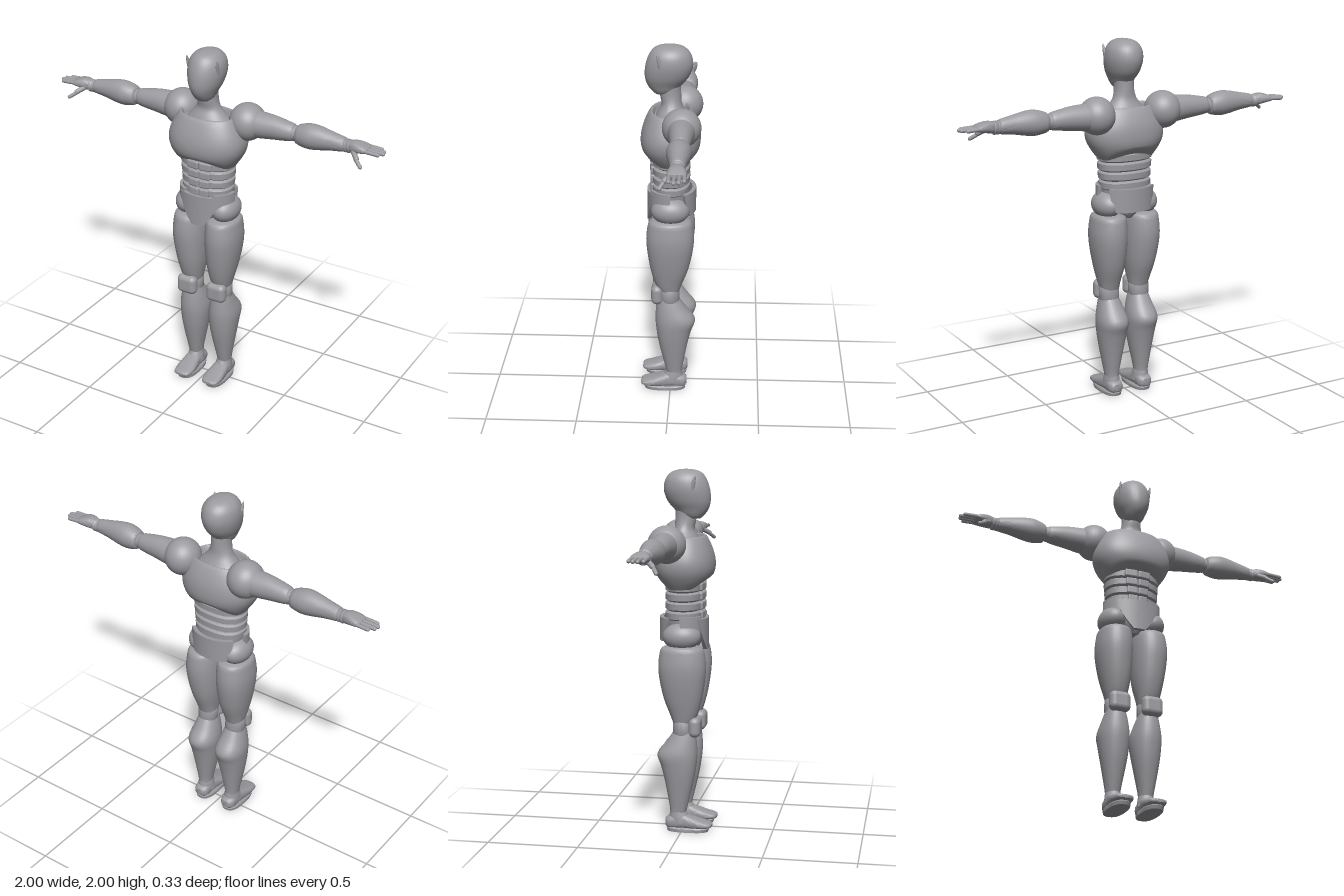
import * as THREE from 'three';
import { toCreasedNormals } from 'three/addons/utils/BufferGeometryUtils.js';
import { RoundedBoxGeometry } from 'three/addons/geometries/RoundedBoxGeometry.js';

const grey = new THREE.MeshStandardMaterial({ color: 0x9b9ba0 });
grey.name = 'grey';

// Skin over sections [position, u0, u1, v0, v1] in ascending order along an axis.
// (u, v) is (x, z) for axis y, (y, z) for axis x and (x, y) for axis z.
function loft(axis, sections, { n = 2, steps = 4, sides = 32, warp = null, crease = 0.7 } = {}) {
  const rows = [], last = sections.length - 1;
  for (let i = 0; i < last; i++) {
    const [p0, p1, p2, p3] = [Math.max(i - 1, 0), i, i + 1, Math.min(i + 2, last)].map(k => sections[k]);
    for (let s = 0; s < steps; s++) {
      const t = s / steps;
      rows.push(p1.map((b, k) => steps === 1 ? b : 0.5 * (2 * b + (p2[k] - p0[k]) * t
        + (2 * p0[k] - 5 * b + 4 * p2[k] - p3[k]) * t * t + (3 * b - p0[k] - 3 * p2[k] + p3[k]) * t ** 3)));
    }
  }
  rows.push(sections[last]);
  const pos = [], idx = [];
  const put = (w, u, v) => {
    const p = axis === 'y' ? [u, w, v] : axis === 'x' ? [w, u, v] : [u, v, w];
    if (warp) warp(p);
    pos.push(...p);
  };
  const tri = (a, b, c) => axis === 'y' ? idx.push(a, b, c) : idx.push(a, c, b);
  const power = c => Math.sign(c) * Math.abs(c) ** (2 / n);
  for (const [w, u0, u1, v0, v1] of rows) for (let j = 0; j < sides; j++) {
    const a = j / sides * Math.PI * 2;
    put(w, (u0 + u1) / 2 + (u1 - u0) / 2 * power(Math.cos(a)), (v0 + v1) / 2 + (v1 - v0) / 2 * power(Math.sin(a)));
  }
  const end = rows.length - 1, base = rows.length * sides;
  for (const r of [rows[0], rows[end]]) put(r[0], (r[1] + r[2]) / 2, (r[3] + r[4]) / 2);
  for (let j = 0; j < sides; j++) {
    const k = (j + 1) % sides;
    for (let i = 0; i < end; i++) {
      const a = i * sides + j, b = i * sides + k;
      tri(a, a + sides, b);
      tri(b, a + sides, b + sides);
    }
    tri(base, j, k);
    tri(base + 1, end * sides + k, end * sides + j);
  }
  const g = new THREE.BufferGeometry();
  g.setAttribute('position', new THREE.Float32BufferAttribute(pos, 3));
  g.setIndex(idx);
  return toCreasedNormals(g, crease);
}

// Curved armour plate around the waist, narrowing towards its lower edge
function plate(mid, half, top, bottom, taper, rx, rz) {
  const g = new THREE.BoxGeometry(2, 1, 1, 20, 6, 1), p = g.attributes.position;
  for (let i = 0; i < p.count; i++) {
    const v = 0.5 - p.getY(i), t = p.getZ(i) * 0.022;
    const a = mid + half * p.getX(i) * (1 + (taper - 1) * v ** 1.6);
    p.setXYZ(i, (rx + t) * Math.sin(a), top + (bottom - top) * v, (rz + t) * Math.cos(a));
  }
  return toCreasedNormals(g, 0.7);
}

function ball(x, y, z, rx, ry, rz) {
  return new THREE.SphereGeometry(1, 32, 20).scale(rx, ry, rz).translate(x, y, z);
}

// Rounded rod between two points
function rod(a, b, r) {
  const from = new THREE.Vector3(...a), to = new THREE.Vector3(...b), d = to.clone().sub(from);
  const turn = new THREE.Quaternion().setFromUnitVectors(new THREE.Vector3(0, 1, 0), d.clone().normalize());
  return new THREE.CapsuleGeometry(r, d.length() - 2 * r, 5, 12).applyQuaternion(turn)
    .translate(...from.add(to).multiplyScalar(0.5).toArray());
}

function mirrored(source) {
  const g = source.index ? source.toNonIndexed() : source.clone();
  g.deleteAttribute('uv');
  g.scale(-1, 1, 1);
  for (const { array: a } of [g.attributes.position, g.attributes.normal])
    for (let i = 0; i < a.length; i += 9) for (let k = 3; k < 6; k++) [a[i + k], a[i + k + 3]] = [a[i + k + 3], a[i + k]];
  return g;
}

export function createModel() {
  const model = new THREE.Group();
  model.name = 'humanoidFigure';
  const add = (name, g) => {
    const m = new THREE.Mesh(g, grey);
    m.name = name;
    model.add(m);
  };
  const pair = (name, g) => { add(name + 'Left', g); add(name + 'Right', mirrored(g)); };
  // Round section helper for the arm
  const armRing = (x, r) => [x, 1.605 - r, 1.605 + r, -0.066 - r, -0.066 + r];

  // Head, side slits and neck
  add('head', loft('y', [
    [1.735, -0.035, 0.035, 0.02, 0.085], [1.75, -0.052, 0.052, -0.025, 0.103], [1.785, -0.068, 0.068, -0.06, 0.128],
    [1.83, -0.088, 0.088, -0.097, 0.14], [1.89, -0.1, 0.1, -0.117, 0.136], [1.945, -0.094, 0.094, -0.108, 0.118],
    [1.98, -0.07, 0.07, -0.08, 0.092], [1.995, -0.04, 0.04, -0.045, 0.058], [2, -0.01, 0.01, -0.01, 0.02]], { crease: 1.2 }));
  pair('templeRidge', ball(0, 0, 0, 0.009, 0.073, 0.012).rotateX(0.25).rotateZ(-0.08).translate(0.086, 1.9, 0.052));
  add('neck', loft('y', [
    [1.6, -0.14, 0.14, -0.1, 0.09], [1.64, -0.1, 0.1, -0.075, 0.07], [1.68, -0.068, 0.068, -0.058, 0.052],
    [1.73, -0.055, 0.055, -0.054, 0.06], [1.8, -0.055, 0.055, -0.052, 0.06]]));

  // Chest shell with a collar recess and an arched lower edge
  add('chest', loft('y', [
    [1.355, -0.155, 0.155, -0.105, 0.095], [1.4, -0.187, 0.187, -0.138, 0.138], [1.45, -0.213, 0.213, -0.157, 0.16],
    [1.5, -0.221, 0.221, -0.16, 0.163], [1.55, -0.211, 0.211, -0.153, 0.153], [1.6, -0.188, 0.188, -0.135, 0.134],
    [1.635, -0.165, 0.165, -0.115, 0.115], [1.642, -0.152, 0.152, -0.102, 0.1], [1.615, -0.14, 0.14, -0.092, 0.088]],
  { n: 2.3, sides: 48, warp: p => {
    p[1] += 0.035 * Math.max(0, 1 - (p[0] / 0.14) ** 2) * THREE.MathUtils.clamp((1.43 - p[1]) / 0.07, 0, 1);
  } }));

  // Banded waist with abdominal plates
  for (let i = 0; i < 4; i++) {
    const y = 1.185 + i * 0.052, w = 0.146 + i * 0.004;
    add('waistBand' + (i + 1), loft('y', [
      [y, -w + 0.014, w - 0.014, -0.09, 0.088], [y + 0.01, -w, w, -0.104, 0.102],
      [y + 0.042, -w - 0.002, w + 0.002, -0.105, 0.103], [y + 0.053, -w + 0.012, w - 0.012, -0.092, 0.09]],
    { n: 2.3, steps: 1 }));
    const pw = 0.056 + i * 0.006;
    pair('abdomenPlate' + (i + 1), new RoundedBoxGeometry(pw, 0.046, 0.03, 3, 0.01)
      .rotateY(0.1).translate(pw / 2 + 0.001, y + 0.027, 0.096));
  }

  // Pelvis, hip joints and waist armour
  add('pelvis', loft('y', [
    [1.02, -0.045, 0.045, -0.06, 0.07], [1.06, -0.09, 0.09, -0.085, 0.09],
    [1.12, -0.125, 0.125, -0.1, 0.1], [1.2, -0.14, 0.14, -0.1, 0.1]]));
  pair('hipJoint', ball(0.112, 1.1, 0, 0.077, 0.075, 0.105));
  add('frontGuard', plate(0, 0.75, 1.195, 1.02, 0.26, 0.165, 0.119));
  add('backGuard', plate(Math.PI, 0.95, 1.2, 1.07, 0.72, 0.16, 0.127));
  pair('sideGuard', plate(1.1, 0.5, 1.21, 1.115, 0.85, 0.155, 0.118));

  // Legs
  pair('thigh', loft('y', [
    [0.615, 0.04, 0.145, -0.05, 0.06], [0.66, 0.032, 0.156, -0.066, 0.085], [0.75, 0.016, 0.177, -0.1, 0.11],
    [0.85, 0.007, 0.194, -0.122, 0.126], [0.93, 0.005, 0.2, -0.13, 0.132], [1.0, 0.008, 0.194, -0.124, 0.125],
    [1.035, 0.015, 0.186, -0.112, 0.112], [1.05, 0.04, 0.16, -0.075, 0.075]], { n: 2.2 }));
  pair('kneeJoint', loft('y', [
    [0.53, 0.05, 0.14, -0.045, 0.05], [0.56, 0.037, 0.152, -0.052, 0.06],
    [0.62, 0.037, 0.152, -0.05, 0.06], [0.64, 0.05, 0.14, -0.045, 0.05]], { steps: 1 }));
  pair('kneeCap', new RoundedBoxGeometry(0.118, 0.112, 0.065, 6, 0.031).translate(0.094, 0.597, 0.073));
  pair('calf', loft('y', [
    [0.1, 0.056, 0.132, -0.068, 0.02], [0.14, 0.052, 0.137, -0.07, 0.03], [0.28, 0.026, 0.16, -0.096, 0.063],
    [0.37, 0.013, 0.172, -0.118, 0.078], [0.44, 0.01, 0.176, -0.138, 0.084],
    [0.51, 0.025, 0.161, -0.088, 0.08], [0.565, 0.042, 0.146, -0.05, 0.072]], { n: 2.2 }));
  pair('ankle', loft('y', [
    [0.05, 0.045, 0.14, -0.075, 0.06], [0.09, 0.05, 0.137, -0.072, 0.035], [0.125, 0.058, 0.13, -0.064, 0.016]]));
  pair('foot', loft('z', [
    [-0.092, 0.07, 0.118, 0.03, 0.07], [-0.07, 0.052, 0.135, 0.015, 0.085], [0, 0.05, 0.138, 0.015, 0.1],
    [0.05, 0.043, 0.143, 0.015, 0.085], [0.11, 0.037, 0.147, 0.018, 0.065],
    [0.155, 0.048, 0.138, 0.024, 0.052], [0.167, 0.07, 0.118, 0.03, 0.045]], { n: 2.8 }));
  pair('sole', loft('y', [
    [0, 0.04, 0.146, -0.083, 0.145], [0.018, 0.038, 0.148, -0.088, 0.152], [0.024, 0.042, 0.144, -0.083, 0.147]],
  { n: 2.6, steps: 1 }));

  // Arms
  pair('shoulder', ball(0.203, 1.609, -0.064, 0.1, 0.103, 0.104));
  pair('upperArm', loft('x', [
    [0.2, 1.53, 1.685, -0.14, 0.01], [0.28, 1.535, 1.68, -0.136, 0.006], [0.36, 1.545, 1.675, -0.126, -0.004],
    [0.43, 1.553, 1.663, -0.118, -0.012], [0.475, 1.56, 1.653, -0.11, -0.022], [0.485, 1.57, 1.64, -0.1, -0.032]]));
  pair('elbow', loft('x', [armRing(0.47, 0.04), armRing(0.485, 0.043), armRing(0.5, 0.038), armRing(0.52, 0.043)], { steps: 1 }));
  pair('forearm', loft('x', [
    [0.498, 1.565, 1.645, -0.105, -0.027], [0.51, 1.552, 1.66, -0.12, -0.012], [0.565, 1.541, 1.676, -0.129, 0.0],
    [0.62, 1.545, 1.676, -0.125, -0.004], [0.7, 1.56, 1.66, -0.112, -0.018],
    [0.765, 1.568, 1.647, -0.104, -0.028], [0.775, 1.573, 1.642, -0.1, -0.032]]));
  pair('wrist', loft('x', [armRing(0.77, 0.033), armRing(0.78, 0.036), armRing(0.787, 0.036), armRing(0.79, 0.031),
    armRing(0.797, 0.036), armRing(0.806, 0.036), armRing(0.812, 0.03)], { steps: 1 }));

  // Hands
  pair('palm', loft('x', [
    [0.8, 1.58, 1.635, -0.095, -0.037], [0.83, 1.58, 1.643, -0.105, -0.025], [0.87, 1.588, 1.638, -0.114, -0.018],
    [0.9, 1.594, 1.627, -0.114, -0.02], [0.91, 1.6, 1.622, -0.108, -0.026]], { n: 2.6 }));
  [0.982, 1.0, 0.995, 0.972].forEach((tip, i) => {
    const z = -0.03 - i * 0.025;
    pair('finger' + (i + 1), rod([0.885, 1.612, z], [tip, 1.608, z], 0.0105));
  });
  pair('thumbBase', rod([0.825, 1.6, -0.045], [0.875, 1.566, 0.002], 0.014));
  pair('thumb', rod([0.855, 1.575, -0.01], [0.908, 1.538, 0.022], 0.0105));
  return model;
}
